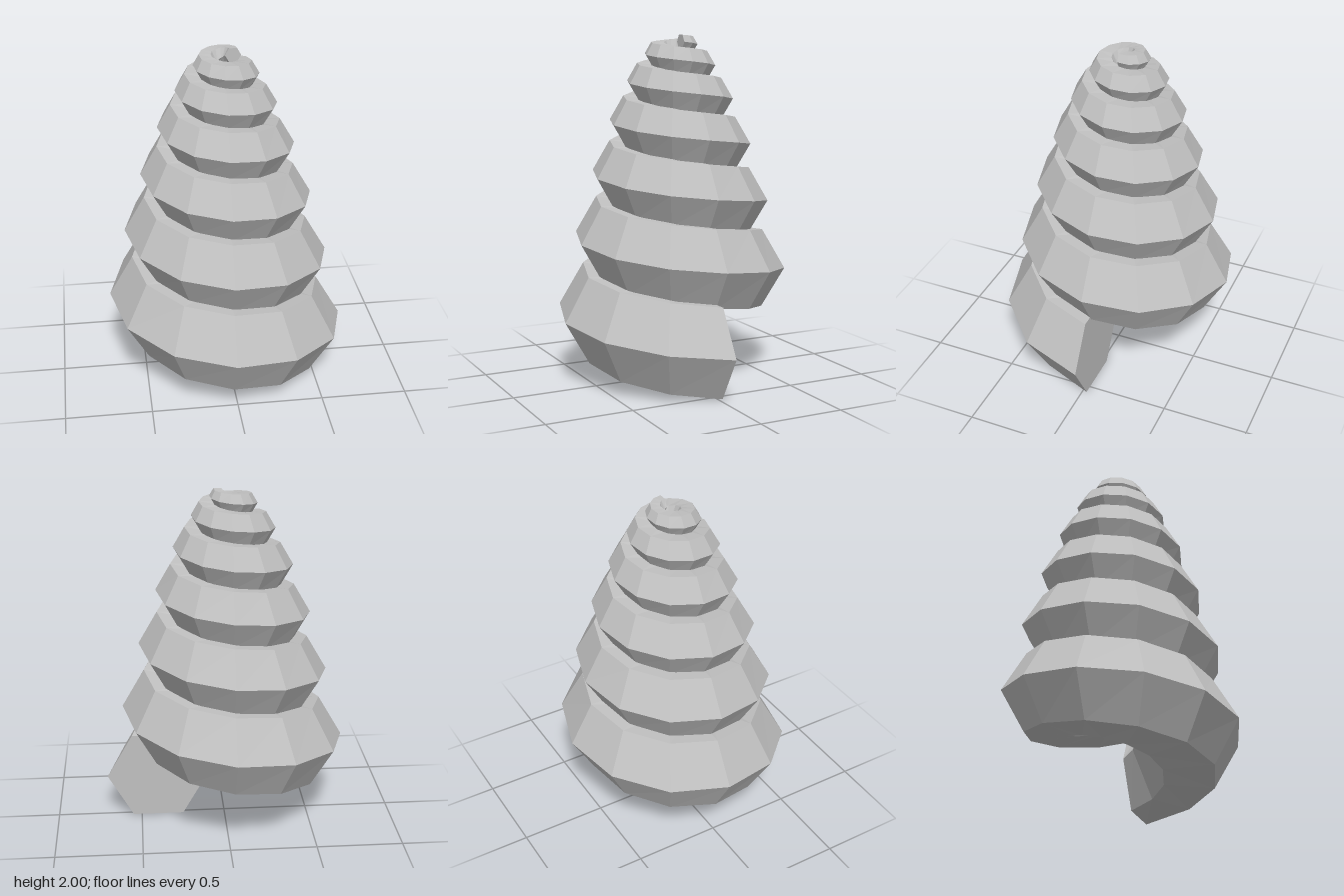
import * as THREE from 'three';

const TURNS = 6, STEPS = 12, SIDES = 6;
const AXIS = -0.0255; // the coil axis sits slightly off centre in x and z

// Corner j of the hexagonal section at coil step i
function corner(i, j) {
  const u = i / (TURNS * STEPS);
  const scale = 1 - 0.85 * u;
  const theta = (i / STEPS) * Math.PI * 2;
  const phi = (j / SIDES) * Math.PI * 2;
  const radius = scale * (0.425 + 0.3 * Math.cos(phi));
  const y = 0.26 + 2.958 * (u - 0.425 * u * u) + scale * 0.3 * Math.sin(phi);
  return [AXIS + radius * Math.cos(theta), y, AXIS + radius * Math.sin(theta)];
}

function facets(triangles) {
  const geometry = new THREE.BufferGeometry();
  geometry.setAttribute('position', new THREE.Float32BufferAttribute(triangles.flat(), 3));
  geometry.computeVertexNormals();
  return geometry;
}

// Outer wall of the tapering spiral tube
function whorls() {
  const points = [];
  for (let i = 0; i < TURNS * STEPS; i++) {
    for (let j = 0; j < SIDES; j++) {
      const a = corner(i, j), b = corner(i, j + 1);
      const c = corner(i + 1, j), d = corner(i + 1, j + 1);
      points.push(a, b, c, b, d, c);
    }
  }
  return facets(points);
}

// Flat hexagon closing one end of the tube
function cap(i, flip) {
  const points = [];
  for (let j = 1; j < SIDES - 1; j++) {
    const b = corner(i, j), c = corner(i, j + 1);
    points.push(corner(i, 0), ...(flip ? [c, b] : [b, c]));
  }
  return facets(points);
}

export function createModel() {
  const shellGrey = new THREE.MeshStandardMaterial({ color: 0xc0c0c0, flatShading: true });
  shellGrey.name = 'shell grey';
  const group = new THREE.Group();
  group.name = 'spiralShell';
  const add = (name, geometry) => {
    const mesh = new THREE.Mesh(geometry, shellGrey);
    mesh.name = name;
    group.add(mesh);
  };
  add('whorls', whorls());
  add('mouthCap', cap(0, true));
  add('tipCap', cap(TURNS * STEPS, false));
  return group;
}
